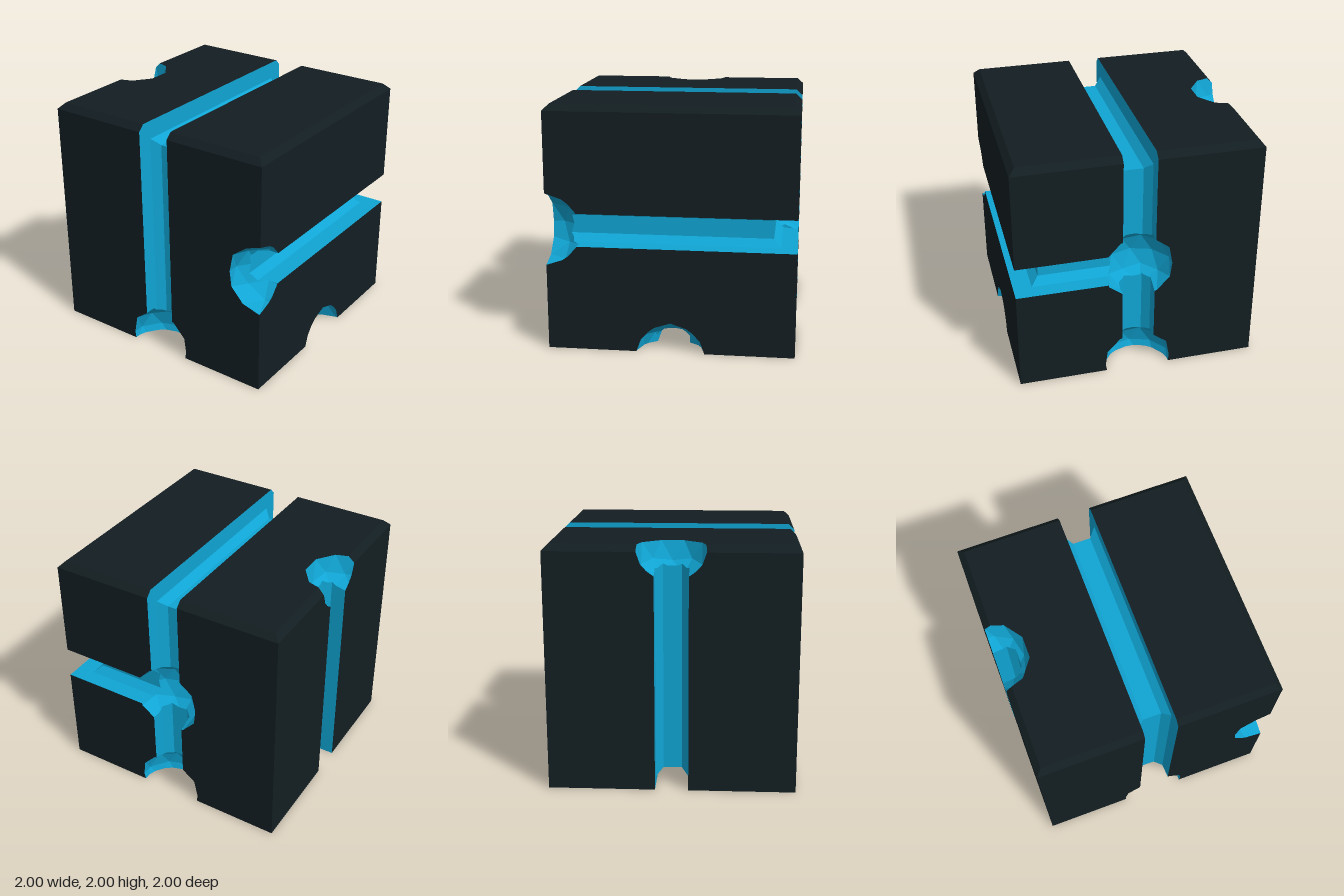
import * as THREE from 'three';
import { ConvexGeometry } from 'three/addons/geometries/ConvexGeometry.js';

const EPS = 1e-5;
const V = (x, y, z) => new THREE.Vector3(x, y, z);

// A convex solid as a list of triangles plus its distinct bounding planes
function convex(name, geometry) {
  const g = geometry.index ? geometry.toNonIndexed() : geometry;
  const pos = g.attributes.position;
  const polys = [], planes = [];
  for (let i = 0; i < pos.count; i += 3) {
    const tri = [0, 1, 2].map(k => new THREE.Vector3().fromBufferAttribute(pos, i + k));
    const plane = new THREE.Plane().setFromCoplanarPoints(...tri);
    polys.push(tri);
    if (!planes.some(p => p.normal.distanceTo(plane.normal) < 1e-4)) planes.push(plane);
  }
  return { name, polys, planes };
}

// Split a polygon into the parts in front of and behind a plane
function split(poly, plane, coplanarInside) {
  const d = poly.map(p => plane.distanceToPoint(p));
  if (d.every(v => Math.abs(v) < EPS)) return coplanarInside ? [null, poly] : [poly, null];
  if (d.every(v => v > -EPS)) return [poly, null];
  if (d.every(v => v < EPS)) return [null, poly];
  const front = [], back = [];
  poly.forEach((p, i) => {
    const j = (i + 1) % poly.length;
    if (d[i] > -EPS) front.push(p);
    if (d[i] < EPS) back.push(p);
    if ((d[i] > EPS && d[j] < -EPS) || (d[i] < -EPS && d[j] > EPS)) {
      const m = p.clone().lerp(poly[j], d[i] / (d[i] - d[j]));
      front.push(m);
      back.push(m);
    }
  });
  return [front, back];
}

// Cut a polygon by a convex solid: the part inside and the pieces outside
function cut(poly, solid, coplanarInside) {
  const outside = [];
  let rest = poly;
  for (const plane of solid.planes) {
    const [front, back] = split(rest, plane, coplanarInside);
    if (front) outside.push(front);
    if (!back) return { inside: null, outside: [poly] };
    rest = back;
  }
  return { inside: rest, outside };
}

const subtract = (polys, solid, coplanarInside) =>
  polys.flatMap(p => cut(p, solid, coplanarInside).outside);

function toMesh(name, polys, material, flip) {
  const out = [];
  for (const p of polys) {
    for (let i = 1; i < p.length - 1; i++) {
      const tri = flip ? [p[0], p[i + 1], p[i]] : [p[0], p[i], p[i + 1]];
      tri.forEach(v => out.push(v.x, v.y, v.z));
    }
  }
  const g = new THREE.BufferGeometry();
  g.setAttribute('position', new THREE.Float32BufferAttribute(out, 3));
  g.computeVertexNormals();
  const mesh = new THREE.Mesh(g, material);
  mesh.name = name;
  return mesh;
}

// Channel with a chamfered floor; start and end lie on the floor's centre line
function channel(name, start, end, outward) {
  const side = outward.clone().cross(end.clone().sub(start).normalize());
  const profile = [[-0.075, 0], [0.075, 0], [0.135, 0.06], [0.135, 0.5], [-0.135, 0.5], [-0.135, 0.06]];
  const points = [start, end].flatMap(c => profile.map(([s, h]) =>
    c.clone().addScaledVector(side, s).addScaledVector(outward, h)));
  return convex(name, new ConvexGeometry(points));
}

// Faceted round hollow with a vertex pointing up
function socket(name, x, y, z, r = 0.29) {
  const g = new THREE.IcosahedronGeometry(r, 1);
  g.rotateZ(-Math.atan(2 / (1 + Math.sqrt(5))));
  return convex(name, g.translate(x, y, z));
}

export function createModel() {
  const group = new THREE.Group();
  group.name = 'groovedBlock';
  const dark = new THREE.MeshStandardMaterial({ color: 0x131e22, flatShading: true });
  const blue = new THREE.MeshStandardMaterial({ color: 0x10a5d4, flatShading: true });

  // Block with a bevelled top rim
  const corners = [];
  for (const [w, y] of [[1, 0], [1, 1.95], [0.95, 2]]) {
    for (const sx of [-1, 1]) for (const sz of [-1, 1]) corners.push(V(sx * w, y, sz * w));
  }
  const block = convex('block', new ConvexGeometry(corners));

  const cutters = [
    // Loop over front, top and back
    channel('frontGroove', V(0, -0.4, 0.81), V(0, 2.4, 0.81), V(0, 0, 1)),
    channel('topGroove', V(0, 1.79, -1.4), V(0, 1.79, 1.4), V(0, 1, 0)),
    channel('backGroove', V(0, -0.4, -0.815), V(0, 2.4, -0.815), V(0, 0, -1)),
    // Level run along the +x side and half of the back
    channel('sideGroove', V(0.79, 1, -1.4), V(0.79, 1, 1.4), V(1, 0, 0)),
    channel('backCrossGroove', V(0, 1, -0.81), V(1.4, 1, -0.81), V(0, 0, -1)),
    // Underside and the -x side
    channel('bottomGroove', V(-1.4, 0.125, 0), V(1.4, 0.125, 0), V(0, -1, 0)),
    channel('farSideGroove', V(-0.82, -0.4, 0), V(-0.82, 2.4, 0), V(-1, 0, 0)),
    // Round hollows at the ends and crossings
    socket('frontBottomSocket', 0, 0.06, 1),
    socket('frontEdgeSocket', 1, 1, 1, 0.295),
    socket('backMiddleSocket', 0, 1, -1),
    socket('backBottomSocket', 0, 0.06, -1),
    socket('sideBottomSocket', 1, -0.04, 0),
    socket('sideTopSocket', -1.02, 2, 0),
  ];

  // Outer skin with all hollows removed
  let skin = block.polys;
  for (const c of cutters) skin = subtract(skin, c, true);
  group.add(toMesh('block', skin, dark, false));

  // Inner walls of each hollow: inside the block, outside the other hollows
  cutters.forEach((c, i) => {
    let walls = c.polys.map(p => cut(p, block, false).inside).filter(Boolean);
    cutters.forEach((o, j) => {
      if (j !== i) walls = subtract(walls, o, j < i);
    });
    group.add(toMesh(c.name, walls, blue, true));
  });
  return group;
}
